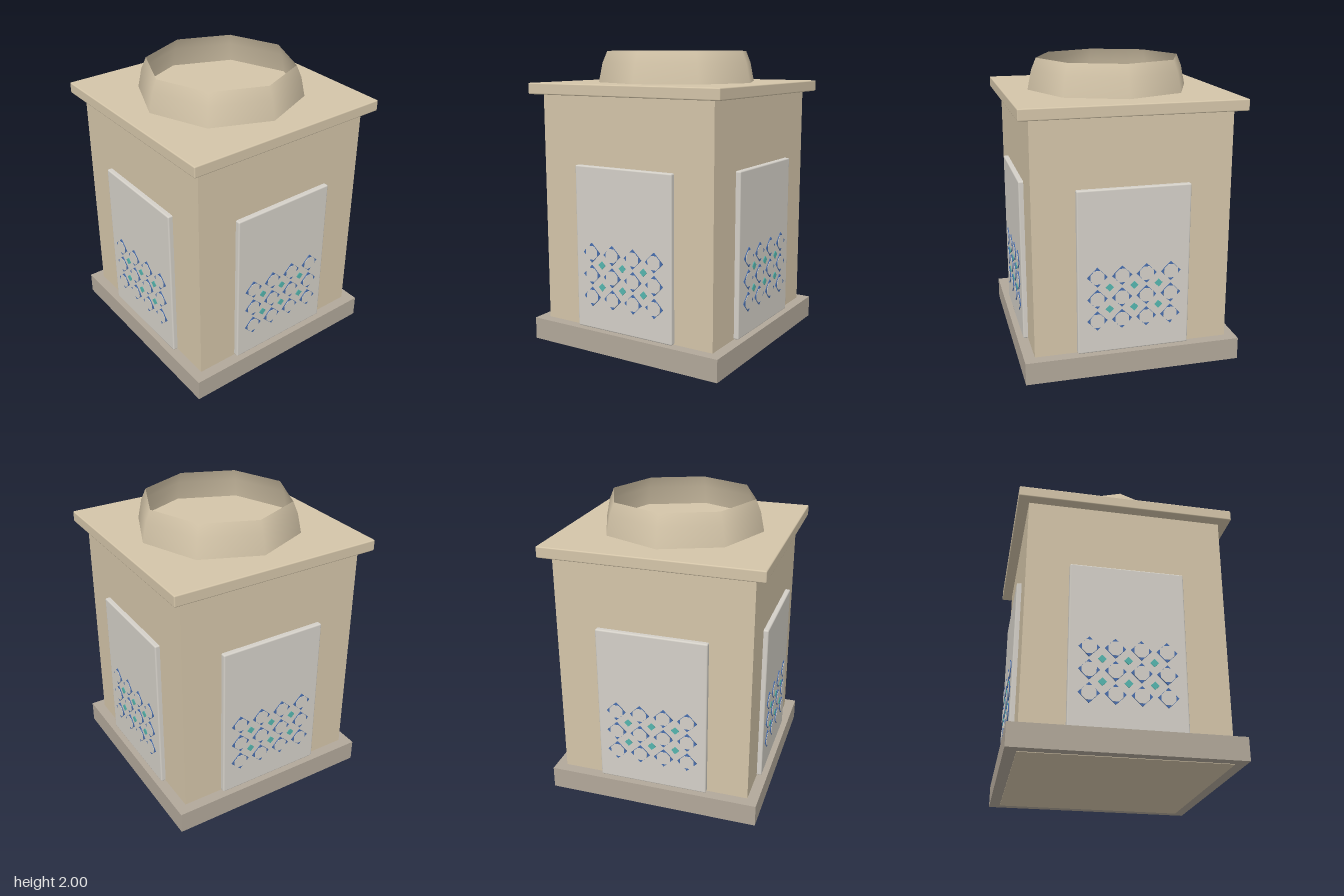
import * as THREE from 'three';
import { RoundedBoxGeometry } from 'three/addons/geometries/RoundedBoxGeometry.js';

const material = (name, color, side = THREE.FrontSide) => {
  const m = new THREE.MeshStandardMaterial({ color, side });
  m.name = name;
  return m;
};

export function createModel() {
  const sandstone = material('sandstone', 0xd4c5a9);
  const sandstoneShell = material('sandstone', 0xd4c5a9, THREE.DoubleSide);
  const footing = material('grey stone', 0xb2a89a);
  const marble = material('pale marble', 0xd4d0c8);
  const blue = material('blue tile', 0x4a6fae);
  const teal = material('teal tile', 0x55b5ae);

  const model = new THREE.Group();
  model.name = 'tiledPillar';

  const add = (parent, name, geometry, mat, x, y, z) => {
    const mesh = new THREE.Mesh(geometry, mat);
    mesh.name = name;
    mesh.position.set(x, y, z);
    parent.add(mesh);
    return mesh;
  };

  // Shaft reaches the ground through the footing
  add(model, 'shaft', new THREE.BoxGeometry(1.31, 1.73, 1.31), sandstone, 0, 0.865, 0);
  add(model, 'footing', new THREE.BoxGeometry(1.455, 0.151, 1.455), footing, 0, 0.0785, 0);
  add(model, 'capSlab', new RoundedBoxGeometry(1.455, 0.075, 1.455, 2, 0.008), sandstone, 0, 1.7525, 0);

  // Open eight-sided collar on the cap
  const collar = [[0.555, 1.785], [0.527, 1.92], [0.493, 2.0]].map(p => new THREE.Vector2(...p));
  add(model, 'collar', new THREE.LatheGeometry(collar, 8), sandstoneShell, 0, 0, 0);

  // Thin tiles facing +z
  const tile = (radius, depth, sides, start = 0) =>
    new THREE.CylinderGeometry(radius, radius, depth, sides, 1, false, start).rotateX(Math.PI / 2);
  const panelShape = new RoundedBoxGeometry(0.75, 1.105, 0.06, 2, 0.01);
  const starShape = tile(0.067, 0.006, 4);
  const centreShape = tile(0.05, 0.004, 8, Math.PI / 8);
  const diamondShape = tile(0.027, 0.006, 4);

  // The same tiled panel on all four faces
  for (let face = 0; face < 4; face++) {
    const side = new THREE.Group();
    side.name = 'tiledPanel';
    side.rotation.y = face * Math.PI / 2;
    add(side, 'panel', panelShape, marble, 0, 0.7075, 0.658);

    // Four columns and three rows of pointed tiles with pale centres
    for (let row = 0; row < 3; row++) {
      for (let col = 0; col < 4; col++) {
        const x = (col - 1.5) * 0.164;
        const y = 0.38 + row * 0.151;
        add(side, 'pointedTile', starShape, blue, x, y, 0.691);
        add(side, 'tileCentre', centreShape, marble, x, y, 0.6945);
      }
    }

    // Small diamonds in the gaps
    for (let row = 0; row < 2; row++) {
      for (let col = 0; col < 3; col++) {
        add(side, 'smallDiamond', diamondShape, teal, (col - 1) * 0.164, 0.4555 + row * 0.151, 0.691);
      }
    }
    model.add(side);
  }
  return model;
}
